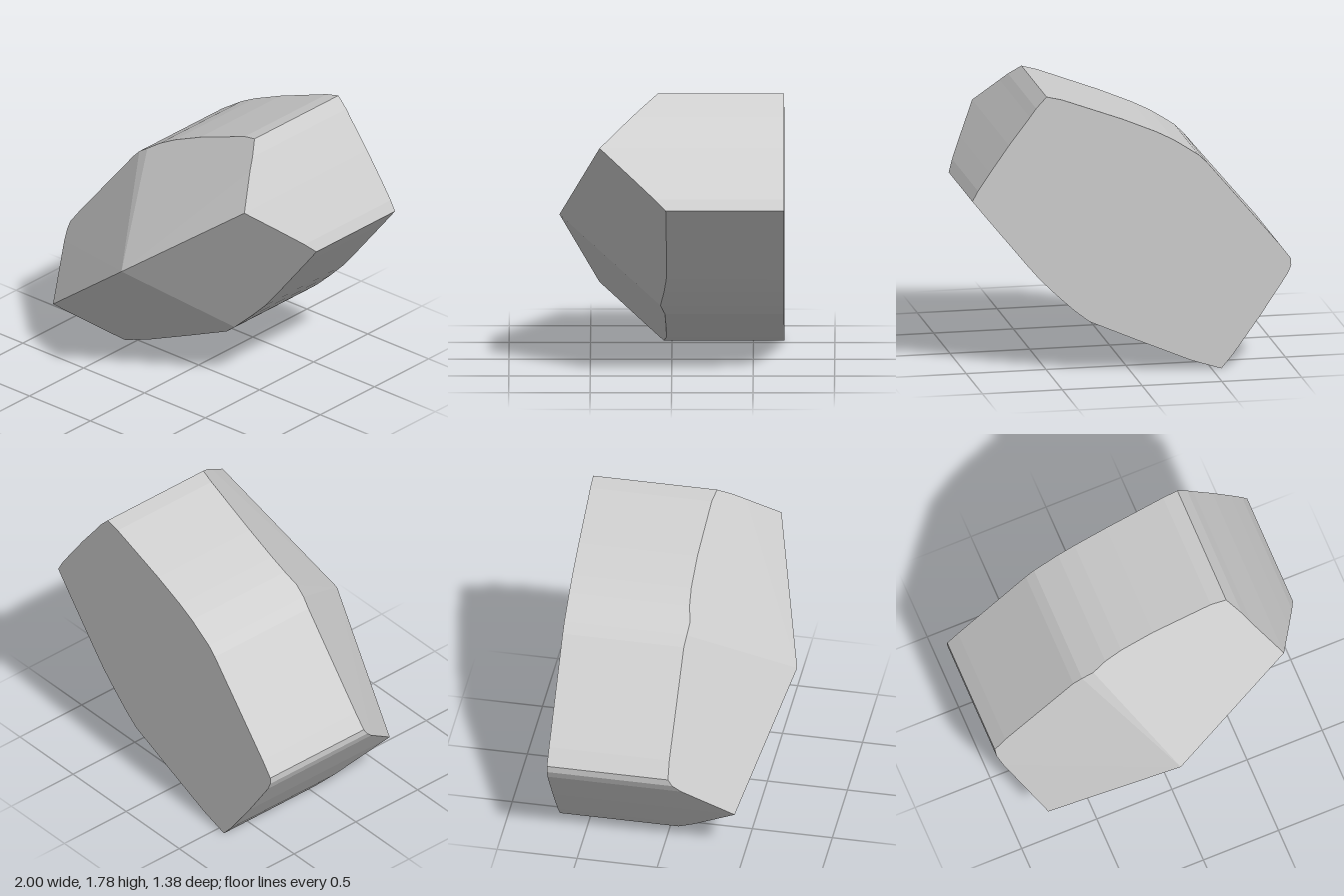
import * as THREE from 'three';

// Outline of the stone, counter-clockwise seen from the front.
// It includes the four points where the front ridges reach the rim.
const OUTLINE = [
  [-0.56, 0], [-0.375, 0.06], [-0.05, 0.2], [0.267, 0.34], [0.358, 0.412], [0.475, 0.52],
  [0.575, 0.62], [0.66, 0.72], [0.92, 1.04], [1, 1.14], [0.965, 1.205], [0.89, 1.315],
  [0.77, 1.485], [0.64, 1.655], [0.6, 1.71], [0.535, 1.78], [0.44, 1.757], [0.06, 1.615],
  [-0.15, 1.525], [-0.26, 1.468], [-0.348, 1.41], [-0.42, 1.362], [-0.475, 1.308],
  [-0.925, 0.77], [-0.997, 0.675], [-0.998, 0.632], [-0.975, 0.58], [-0.8, 0.318], [-0.63, 0.082],
];
const APEX = [-0.02, 0.905, 0.69];
const BACK = -0.69;

// Depth of the rim: the front falls away along and across the slanted ridge.
function rimDepth([x, y]) {
  const dx = x - APEX[0], dy = y - APEX[1];
  const along = Math.abs(dx * 0.802 + dy * 0.598);
  const across = Math.abs(-dx * 0.598 + dy * 0.802);
  return APEX[2] - 0.245 * along - 0.995 * across;
}

function mesh(name, positions) {
  const geometry = new THREE.BufferGeometry();
  geometry.setAttribute('position', new THREE.Float32BufferAttribute(positions, 3));
  geometry.computeVertexNormals();
  const material = new THREE.MeshStandardMaterial({ color: 0xcccccc, flatShading: true });
  const result = new THREE.Mesh(geometry, material);
  result.name = name;
  return result;
}

export function createModel() {
  const crown = [], sides = [], base = [];
  const centre = [APEX[0], APEX[1], BACK];
  OUTLINE.forEach((p, i) => {
    const q = OUTLINE[(i + 1) % OUTLINE.length];
    const pf = [...p, rimDepth(p)], qf = [...q, rimDepth(q)];
    const pb = [...p, BACK], qb = [...q, BACK];
    crown.push(...APEX, ...pf, ...qf);
    sides.push(...pf, ...pb, ...qb, ...pf, ...qb, ...qf);
    base.push(...centre, ...qb, ...pb);
  });

  const group = new THREE.Group();
  group.name = 'facetedStone';
  group.add(mesh('facetedFront', crown), mesh('sideWall', sides), mesh('flatBack', base));
  return group;
}
